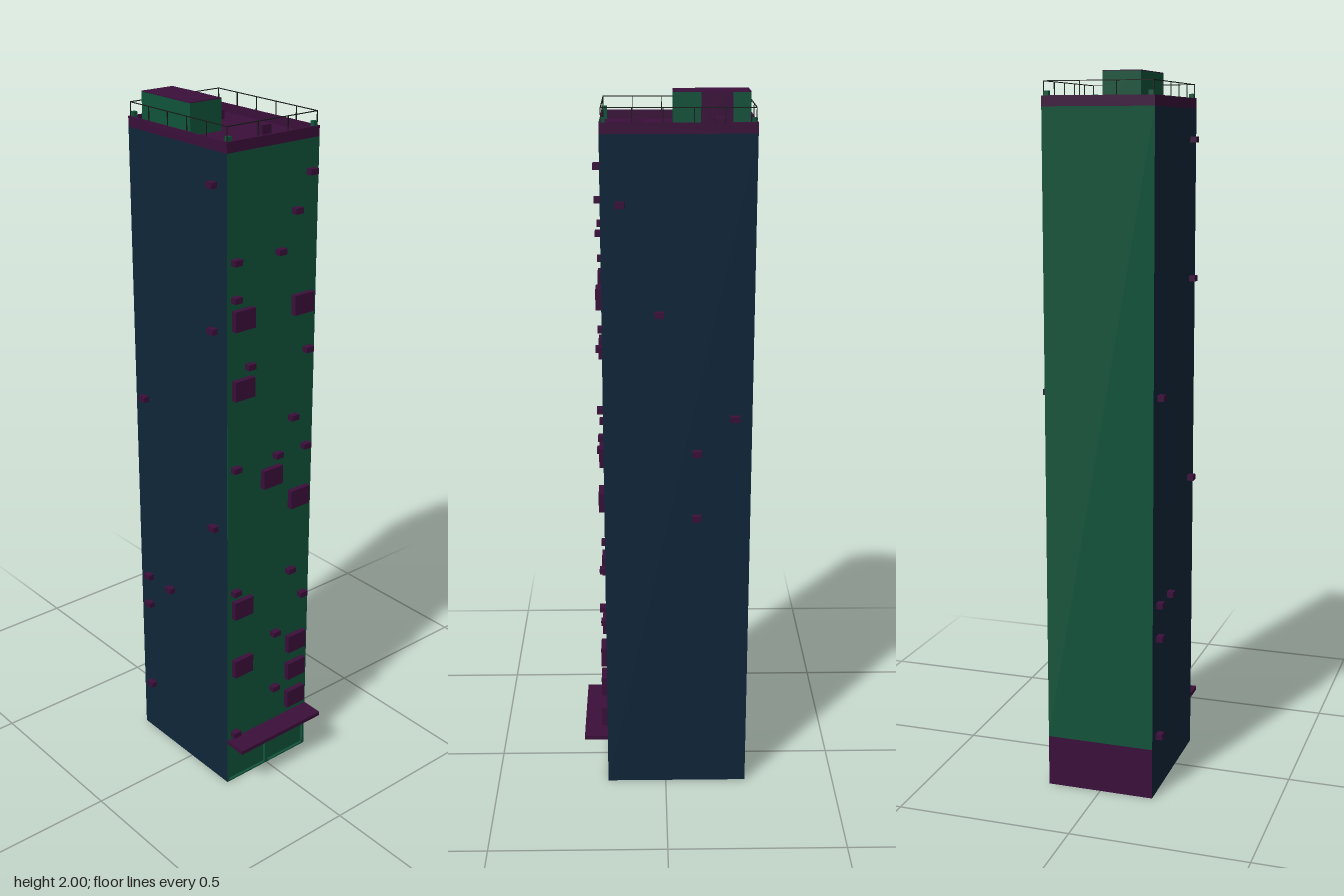
import * as THREE from 'three';

const mat = (name, color, side = THREE.FrontSide) => {
  const m = new THREE.MeshStandardMaterial({ color, side });
  m.name = name;
  return m;
};

export function createModel() {
  const green = mat('green', 0x10533a, THREE.DoubleSide);
  const purple = mat('purple', 0x3a0f3a, THREE.DoubleSide);
  const navy = mat('navy', 0x0f2639, THREE.DoubleSide);
  const dark = mat('railing dark', 0x161a18);

  const W = 0.155, FRONT = 0.172, BACK = -0.237, TOP = 1.91, BASE = 0.147;
  const DEPTH = FRONT - BACK, MID = (FRONT + BACK) / 2;
  const model = new THREE.Group();
  model.name = 'towerBlock';

  const add = (name, geo, material, x, y, z, parent = model) => {
    const mesh = new THREE.Mesh(geo, material);
    mesh.name = name;
    mesh.position.set(x, y, z);
    parent.add(mesh);
    return mesh;
  };
  const box = (name, material, w, h, d, x, y, z, parent) =>
    add(name, new THREE.BoxGeometry(w, h, d), material, x, y, z, parent);
  const group = (name) => {
    const g = new THREE.Group();
    g.name = name;
    model.add(g);
    return g;
  };
  const rect = (Type, x0, y0, x1, y1) => new Type().setFromPoints(
    [[x0, y0], [x1, y0], [x1, y1], [x0, y1]].map(([x, y]) => new THREE.Vector2(x, y)));

  // Front wall with two recessed shopfronts
  const facade = rect(THREE.Shape, -W + 0.0005, 0, W - 0.0005, TOP);
  for (const s of [-1, 1]) {
    facade.holes.push(rect(THREE.Path, s * 0.006, 0.004, s * 0.148, 0.11));
    add('shopfront', new THREE.PlaneGeometry(0.144, 0.108), green, s * 0.077, 0.057, FRONT - 0.008);
  }
  add('frontWall', new THREE.ExtrudeGeometry(facade, { depth: 0.01, bevelEnabled: false }),
    green, 0, 0, FRONT - 0.01);

  // Thin side walls and two-tone back wall, open underneath
  for (const s of [-1, 1]) {
    add('sideWall', new THREE.PlaneGeometry(DEPTH, TOP), navy, s * W, TOP / 2, MID)
      .rotation.y = s * Math.PI / 2;
  }
  add('backWall', new THREE.PlaneGeometry(2 * W, TOP - BASE), green, 0, (TOP + BASE) / 2, BACK)
    .rotation.y = Math.PI;
  add('backBase', new THREE.PlaneGeometry(2 * W, BASE), purple, 0, BASE / 2, BACK)
    .rotation.y = Math.PI;

  // Street canopy
  box('canopy', purple, 2 * W, 0.012, 0.068, 0, BASE, FRONT + 0.034);

  // Roof slab and parapet ring
  box('roof', purple, 2 * W - 0.002, 0.006, DEPTH - 0.002, 0, TOP + 0.002, MID);
  const ring = rect(THREE.Shape, -W, -DEPTH / 2, W, DEPTH / 2);
  ring.holes.push(rect(THREE.Path, -W + 0.006, -DEPTH / 2 + 0.006, W - 0.006, DEPTH / 2 - 0.006));
  add('parapet', new THREE.ExtrudeGeometry(ring, { depth: 0.028, bevelEnabled: false }),
    purple, 0, TOP, MID).rotation.x = -Math.PI / 2;

  // Stair house with flat cap and door
  const house = group('stairHouse');
  box('houseWalls', green, 0.103, 0.084, 0.207, -0.0635, 1.956, -0.126, house);
  box('houseCap', purple, 0.103, 0.002, 0.207, -0.0635, 1.999, -0.126, house);
  box('houseDoor', purple, 0.008, 0.084, 0.085, -0.008, 1.956, -0.139, house);

  // Roof vents
  for (const [x, z] of [[0.033, -0.142], [0.072, -0.142], [0.052, 0.072]]) {
    box('roofVent', purple, 0.03, 0.025, 0.025, x, 1.927, z);
  }

  // Roof railing with corner blocks
  const railing = group('railing');
  const RX = W - 0.005, RZ = DEPTH / 2 - 0.005, T = 0.0022, RAIL = 1.975;
  const post = (x, z) => box('railPost', dark, T, RAIL - 1.936, T, x, (RAIL + 1.936) / 2, z, railing);
  for (const s of [-1, 1]) {
    box('topRail', dark, 2 * RX, T, T, 0, RAIL, MID + s * RZ, railing);
    box('topRail', dark, T, T, 2 * RZ, s * RX, RAIL, MID, railing);
    for (let i = 0; i < 4; i++) post(-RX + (i * 2 * RX) / 3, MID + s * RZ);
    for (let i = 1; i < 5; i++) post(s * RX, MID - RZ + (i * 2 * RZ) / 5);
    for (const t of [-1, 1]) {
      box('cornerBlock', green, 0.013, 0.036, 0.013, s * 0.143, 1.932, MID + t * 0.195);
    }
  }

  // Large projecting bays on the front, as [x, heights]
  const bays = group('frontBays');
  for (const [x, ys] of [
    [-0.104, [1.472, 1.277, 0.6, 0.403]],
    [0, [0.985]],
    [0.103, [1.472, 0.89, 0.403, 0.307, 0.207]],
  ]) for (const y of ys) box('bay', purple, 0.068, 0.056, 0.016, x, y, FRONT + 0.008, bays);

  // Small cooling units on the front
  const units = group('coolingUnits');
  for (const [x, ys] of [
    [-0.129, [1.63, 1.53, 1.045, 0.657, 0.172]],
    [-0.081, [1.335]],
    [0.022, [1.63, 1.045, 0.463, 0.27]],
    [0.077, [1.73, 1.145, 0.657]],
    [0.126, [1.825, 1.335, 1.045, 0.56]],
  ]) for (const y of ys) box('coolingUnit', purple, 0.026, 0.016, 0.018, x, y, FRONT + 0.009, units);

  // Cooling units on the sides, as [side, z, heights]
  for (const [s, z, ys] of [
    [1, 0.121, [1.73]],
    [1, 0.018, [1.437]],
    [1, -0.086, [1.045, 0.853]],
    [1, -0.19, [1.145]],
    [-1, 0.121, [1.825, 1.437, 0.853]],
    [-1, -0.086, [0.56]],
    [-1, -0.19, [1.145, 0.56, 0.463, 0.172]],
  ]) for (const y of ys) box('coolingUnit', purple, 0.018, 0.016, 0.026, s * (W + 0.009), y, z, units);

  return model;
}
